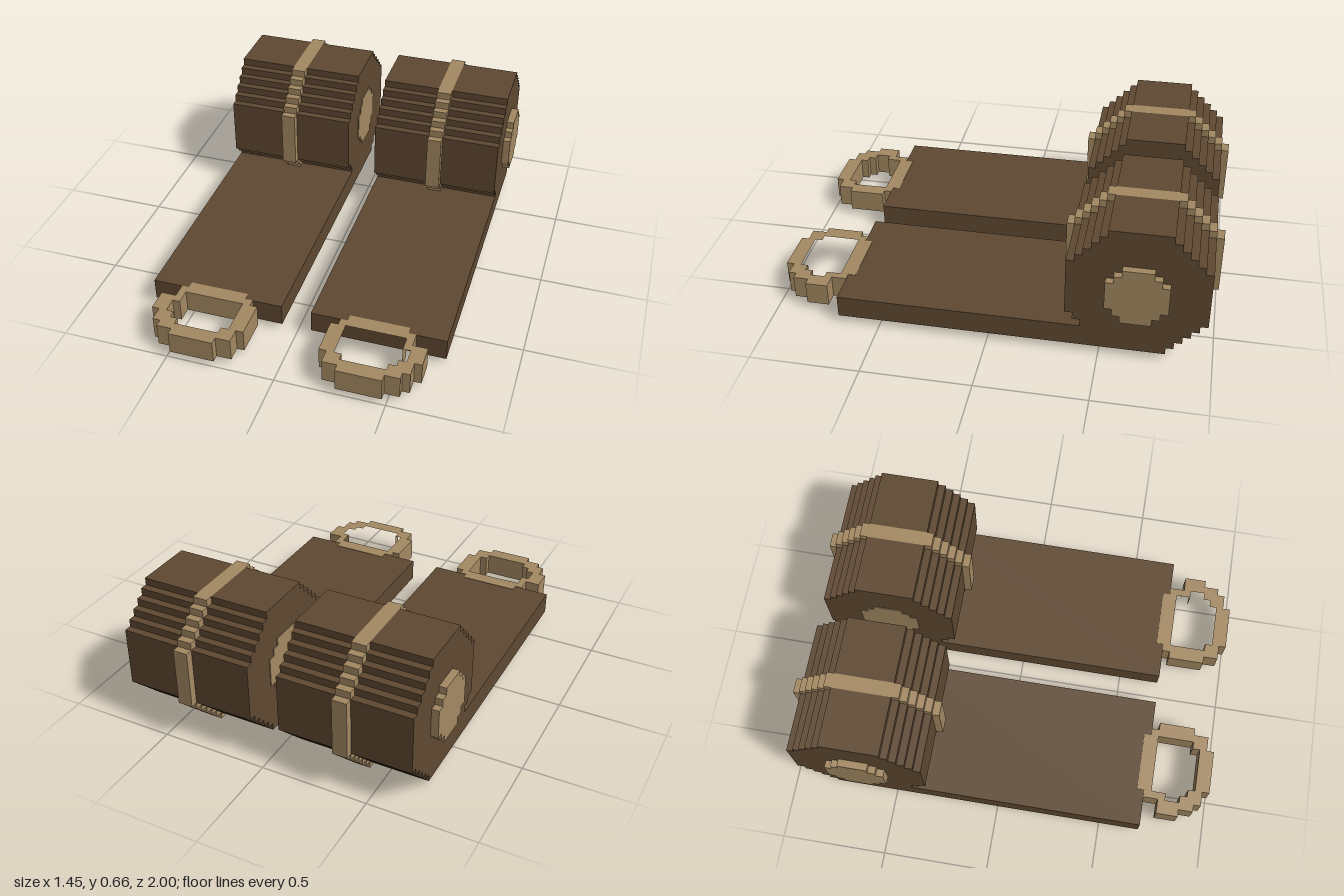
import * as THREE from 'three';

const UNIT = 2 / 58; // one block
const brown = new THREE.MeshStandardMaterial({ color: 0x5f4932 });
brown.name = 'dark brown';
const tan = new THREE.MeshStandardMaterial({ color: 0xa58a63 });
tan.name = 'tan';

// Stepped outline from rows of [from, to, low, high]
function outline(rows, map) {
  const up = rows.flatMap(([a, b, , hi]) => [[hi, a], [hi, b]]);
  const down = rows.flatMap(([a, b, lo]) => [[lo, a], [lo, b]]).reverse();
  return [...up, ...down].map(([u, v]) => map(u, v));
}

// Blocky disc lying across x; half(i) gives the half width of row i
function disc(first, last, half, x0, x1, frontLimit = () => 99) {
  const rows = [];
  for (let i = first; i <= last; i++) {
    rows.push([i, i + 1, 10 - half(i), Math.min(10 + half(i), frontLimit(i))]);
  }
  const shape = new THREE.Shape(outline(rows, (z, y) => new THREE.Vector2(29 - z, y)));
  return new THREE.ExtrudeGeometry(shape, { depth: x1 - x0, bevelEnabled: false })
    .rotateY(Math.PI / 2).translate(x0, 0, 0);
}

const drumHalf = i => Math.min(9, i + 3, 22 - i);
const strapHalf = i => Math.min(10, i + 4, 23 - i);
const hubHalf = i => Math.min(4, i - 4, 15 - i);

// Rows along z, with the x extent of each
const RING_OUTER = [[48, 49, 7, 15], [49, 50, 6, 16], [50, 51, 5, 16], [51, 54, 5, 18],
  [54, 55, 5, 17], [55, 56, 6, 17], [56, 57, 6, 16], [57, 58, 8, 14]];
const RING_HOLE = [[50, 52, 7, 15], [52, 54, 7, 16], [54, 55, 7, 15], [55, 56, 8, 14]];

function ringGeometry(side) {
  const map = (x, z) => new THREE.Vector2(side * x, 29 - z);
  const shape = new THREE.Shape(outline(RING_OUTER, map));
  shape.holes.push(new THREE.Path(outline(RING_HOLE, map)));
  // slightly taller than the strip so its overlapped edge shows
  return new THREE.ExtrudeGeometry(shape, { depth: 3.12, bevelEnabled: false })
    .rotateX(-Math.PI / 2).translate(0, 0.94, 0);
}

function buildRoll(side, label) {
  const roll = new THREE.Group();
  roll.name = label + 'Roll';
  const add = (name, geometry, material) => {
    const mesh = new THREE.Mesh(geometry, material);
    mesh.name = name;
    roll.add(mesh);
  };
  const across = (a, b) => (side > 0 ? [a, b] : [-b, -a]);

  // Rolled drum in two halves with the strap between
  add('innerDrum', disc(1, 18, drumHalf, ...across(2, 10)), brown);
  add('outerDrum', disc(1, 18, drumHalf, ...across(12, 20)), brown);
  add('strap', disc(0, 18, strapHalf, ...across(10, 12), i => (i === 1 ? 14 : 99)), tan);

  // Hub boss outside, thin hub plate inside
  add('outerHub', disc(6, 13, hubHalf, ...across(20, 21)), tan);
  add('innerHub', disc(6, 13, hubHalf, ...across(1.9, 2)), tan);

  // Unrolled flat strip
  add('strip', new THREE.BoxGeometry(18, 3, 35).translate(side * 11, 2.5, 31.5 - 29), brown);

  add('endRing', ringGeometry(side), tan);
  return roll;
}

export function createModel() {
  const model = new THREE.Group();
  model.name = 'pairOfRolls';
  model.add(buildRoll(1, 'left'), buildRoll(-1, 'right'));
  model.scale.setScalar(UNIT);
  return model;
}
